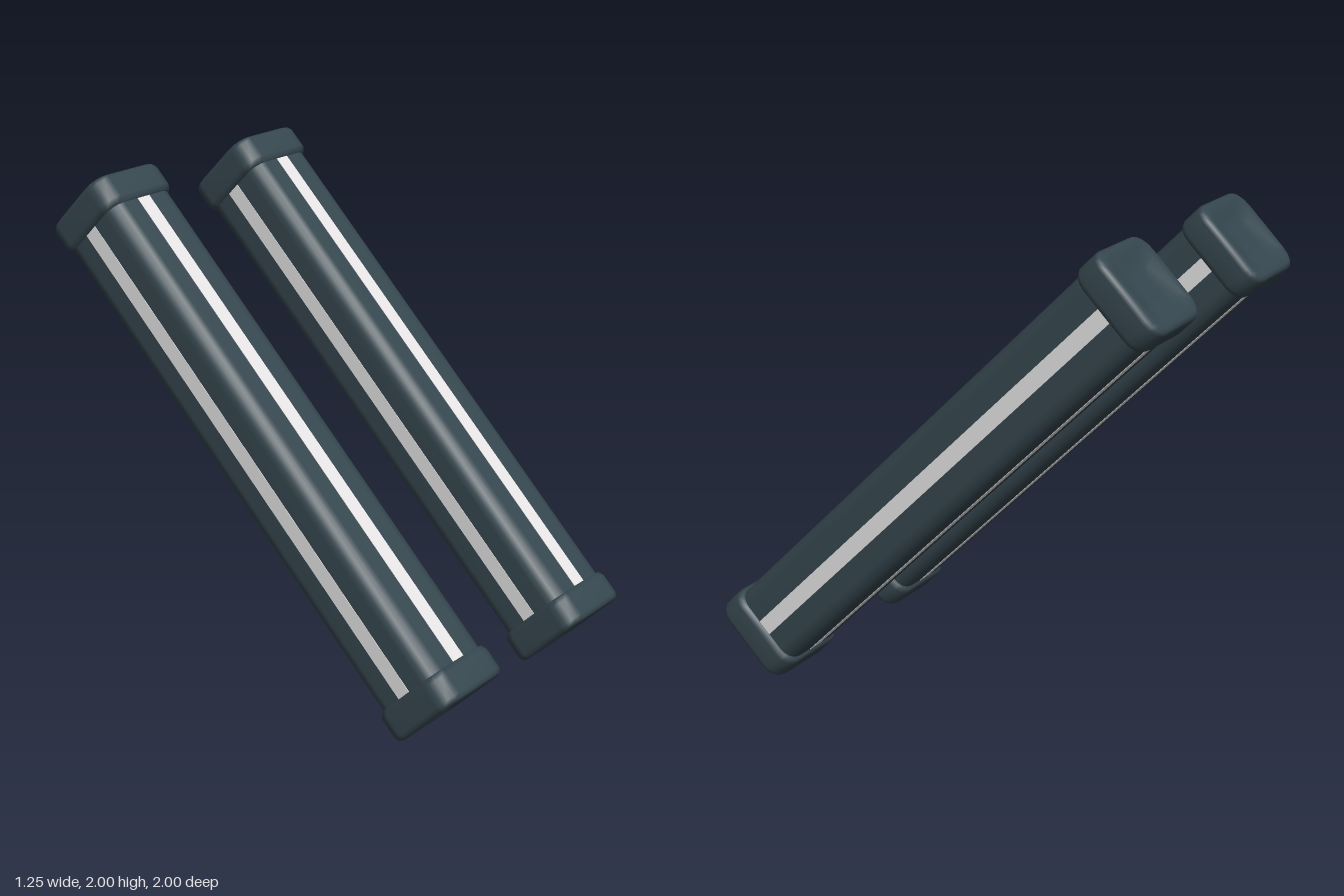
import * as THREE from 'three';

const CORNER_STEPS = 4;

// Rounded-square outline with the given half width
function ring(half) {
  const r = half * 0.38, points = [];
  for (let c = 0; c < 4; c++) {
    const mid = Math.PI / 4 + c * Math.PI / 2;
    const cx = Math.sign(Math.cos(mid)) * (half - r);
    const cz = Math.sign(Math.sin(mid)) * (half - r);
    for (let i = 0; i <= CORNER_STEPS; i++) {
      const a = (c + i / CORNER_STEPS) * Math.PI / 2;
      points.push([cx + r * Math.cos(a), cz + r * Math.sin(a)]);
    }
  }
  return points;
}

// Smooth skin over rounded squares given as [half width, height], bottom to top
function loft(profile) {
  const n = 4 * (CORNER_STEPS + 1), positions = [], index = [];
  for (const [half, y] of profile) {
    for (const [x, z] of ring(half)) positions.push(x, y, z);
  }
  for (let k = 0; k < profile.length - 1; k++) {
    for (let i = 0; i < n; i++) {
      const a = k * n + i, b = k * n + (i + 1) % n;
      index.push(a, a + n, b, b, a + n, b + n);
    }
  }
  const geometry = new THREE.BufferGeometry();
  geometry.setAttribute('position', new THREE.Float32BufferAttribute(positions, 3));
  geometry.setIndex(index);
  geometry.computeVertexNormals();
  return geometry;
}

export function createModel() {
  const darkSlate = new THREE.MeshStandardMaterial({ color: 0x35464e });
  darkSlate.name = 'darkSlate';
  const paleGrey = new THREE.MeshStandardMaterial({ color: 0xe6e4e4 });
  paleGrey.name = 'paleGrey';

  const bodyGeometry = loft([[0.175, -1.12], [0.175, 1.12]]);
  // Cap with a soft rim and a shallow dished end
  const capGeometry = loft([
    [0.165, 1.098], [0.184, 1.103], [0.193, 1.125], [0.193, 1.21], [0.187, 1.226],
    [0.172, 1.235], [0.14, 1.232], [0.1, 1.213], [0.05, 1.211], [0.0005, 1.211],
  ]);
  const stripeGeometry = new THREE.BoxGeometry(0.067, 2.2, 0.006);

  function add(parent, geometry, material, name) {
    const mesh = new THREE.Mesh(geometry, material);
    mesh.name = name;
    parent.add(mesh);
    return mesh;
  }

  const model = new THREE.Group();
  model.name = 'twinTubes';
  for (const side of [-1, 1]) {
    const tube = new THREE.Group();
    tube.name = side > 0 ? 'leftTube' : 'rightTube';

    add(tube, bodyGeometry, darkSlate, 'tubeBody');
    add(tube, capGeometry, darkSlate, 'upperCap');
    add(tube, capGeometry, darkSlate, 'lowerCap').rotation.x = Math.PI;

    // One stripe down each of the four faces
    for (let i = 0; i < 4; i++) {
      const a = i * Math.PI / 2;
      const stripe = add(tube, stripeGeometry, paleGrey, 'stripe');
      stripe.position.set(Math.sin(a) * 0.174, 0, Math.cos(a) * 0.174);
      stripe.rotation.y = a;
    }

    // Lean back by 45 degrees
    tube.rotation.x = -Math.PI / 4;
    tube.position.set(side * 0.432, 1, 0);
    model.add(tube);
  }
  return model;
}
